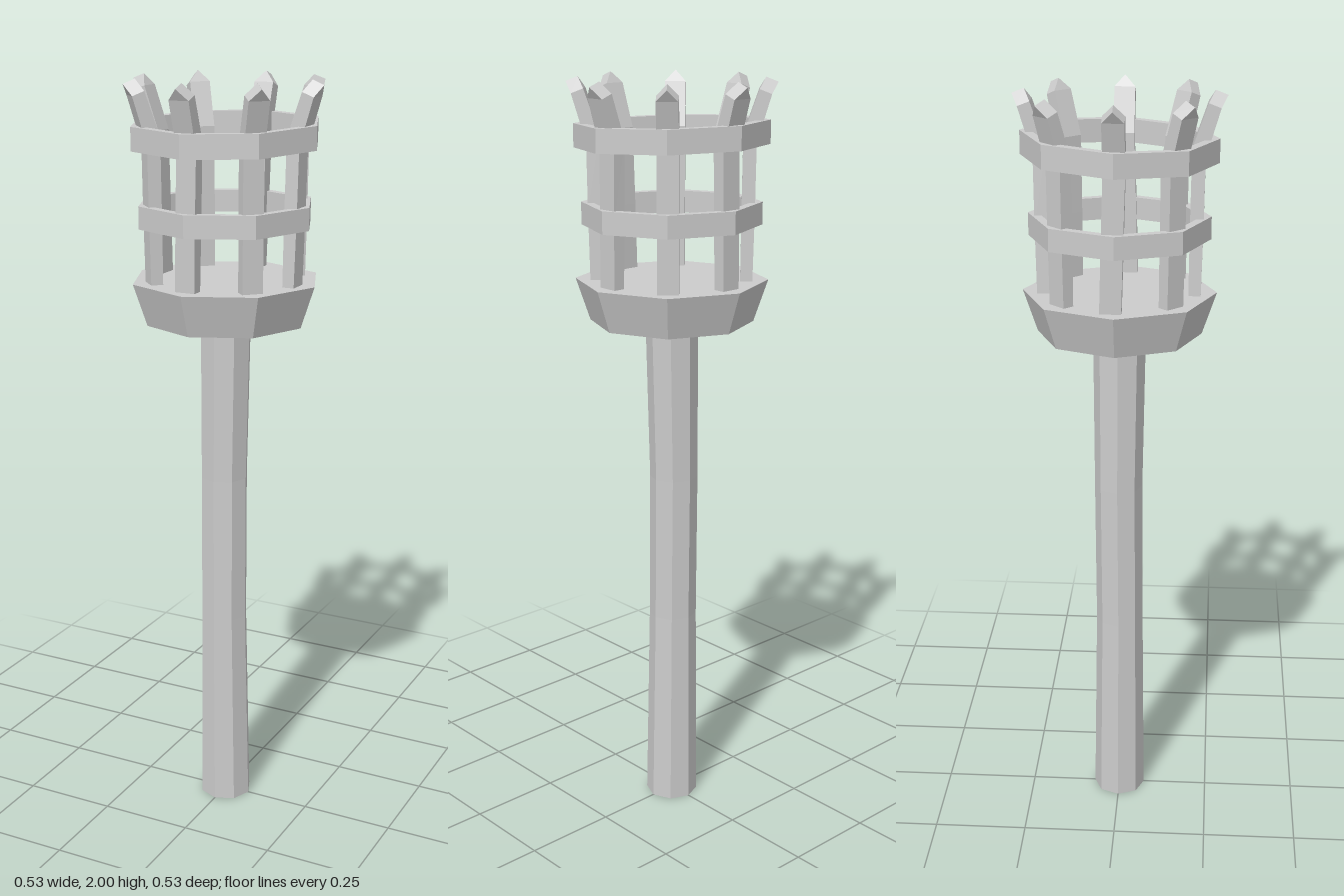
import * as THREE from 'three';

const material = new THREE.MeshStandardMaterial({ color: 0xcccccc, flatShading: true });
const SIDES = 8;

// Skins successive rings of points; rings run anticlockwise seen from the last ring.
function loft(rings, closed = false) {
  const n = rings[0].length;
  const index = [];
  const last = closed ? rings.length : rings.length - 1;
  for (let i = 0; i < last; i++) {
    const a = i * n, b = ((i + 1) % rings.length) * n;
    for (let j = 0; j < n; j++) {
      const k = (j + 1) % n;
      index.push(a + j, a + k, b + k, a + j, b + k, b + j);
    }
  }
  if (!closed) {
    const top = (rings.length - 1) * n;
    for (let j = 1; j < n - 1; j++) {
      index.push(0, j + 1, j);
      index.push(top, top + j, top + j + 1);
    }
  }
  const g = new THREE.BufferGeometry();
  g.setAttribute('position', new THREE.Float32BufferAttribute(rings.flat(2), 3));
  g.setIndex(index);
  const flat = g.toNonIndexed();
  flat.computeVertexNormals();
  return flat;
}

function addMesh(parent, name, geometry) {
  const mesh = new THREE.Mesh(geometry, material);
  mesh.name = name;
  parent.add(mesh);
  return mesh;
}

// Horizontal octagon with corners on the axes
function octagon(r, y, dx = 0, dz = 0) {
  return Array.from({ length: SIDES }, (_, i) => {
    const a = (i / SIDES) * Math.PI * 2;
    return [dx + r * Math.cos(a), y, dz - r * Math.sin(a)];
  });
}

// Octagonal band of rectangular section, slightly lower at the front
function hoop(inner, outer, y, height, tilt) {
  const rings = Array.from({ length: SIDES }, (_, i) => {
    const a = (i / SIDES) * Math.PI * 2;
    const c = Math.cos(a), s = -Math.sin(a);
    const corner = (r, h) => [r * c, y + h - tilt * s, r * s];
    const h = height / 2;
    return [corner(inner, -h), corner(inner, h), corner(outer, h), corner(outer, -h)];
  });
  return loft(rings, true);
}

// Upright slat, bent outwards near the top and cut to a point; faces +z
function slat(lean) {
  const w = 0.027;
  // inner radius, inner y, outer radius, outer y, half width, sideways shift
  const sections = [
    [0.177, 1.46, 0.208, 1.46, w, lean],
    [0.178, 1.66, 0.212, 1.66, w, lean * 0.5],
    [0.180, 1.86, 0.214, 1.84, w, 0],
    [0.219, 1.972, 0.25, 1.96, w, 0],
    [0.235, 2.0, 0.266, 1.988, 0, 0],
  ];
  return loft(sections.map(([ri, yi, ro, yo, hw, dx]) => [
    [dx - hw, yo, ro], [dx + hw, yo, ro], [dx + hw, yi, ri], [dx - hw, yi, ri],
  ]));
}

export function createModel() {
  const model = new THREE.Group();
  model.name = 'torch';

  // Slightly uneven wooden shaft
  addMesh(model, 'shaft', loft([
    octagon(0.071, 0),
    octagon(0.064, 0.55, -0.005, 0.001),
    octagon(0.064, 0.95, -0.006, -0.002),
    octagon(0.069, 1.4),
  ]));

  // Flared cup carrying the basket
  addMesh(model, 'cup', loft([octagon(0.213, 1.38), octagon(0.25, 1.49)]));

  // Basket of slats tied by two hoops
  const basket = new THREE.Group();
  basket.name = 'basket';
  model.add(basket);
  for (let i = 0; i < SIDES; i++) {
    const lean = i % 2 ? 0 : (i === 4 ? 0.011 : -0.011);
    addMesh(basket, 'slat', slat(lean)).rotation.y = (i / SIDES) * Math.PI * 2;
  }
  addMesh(basket, 'lowerHoop', hoop(0.207, 0.232, 1.66, 0.058, 0.002));
  addMesh(basket, 'upperHoop', hoop(0.222, 0.249, 1.86, 0.06, 0.008));

  return model;
}
